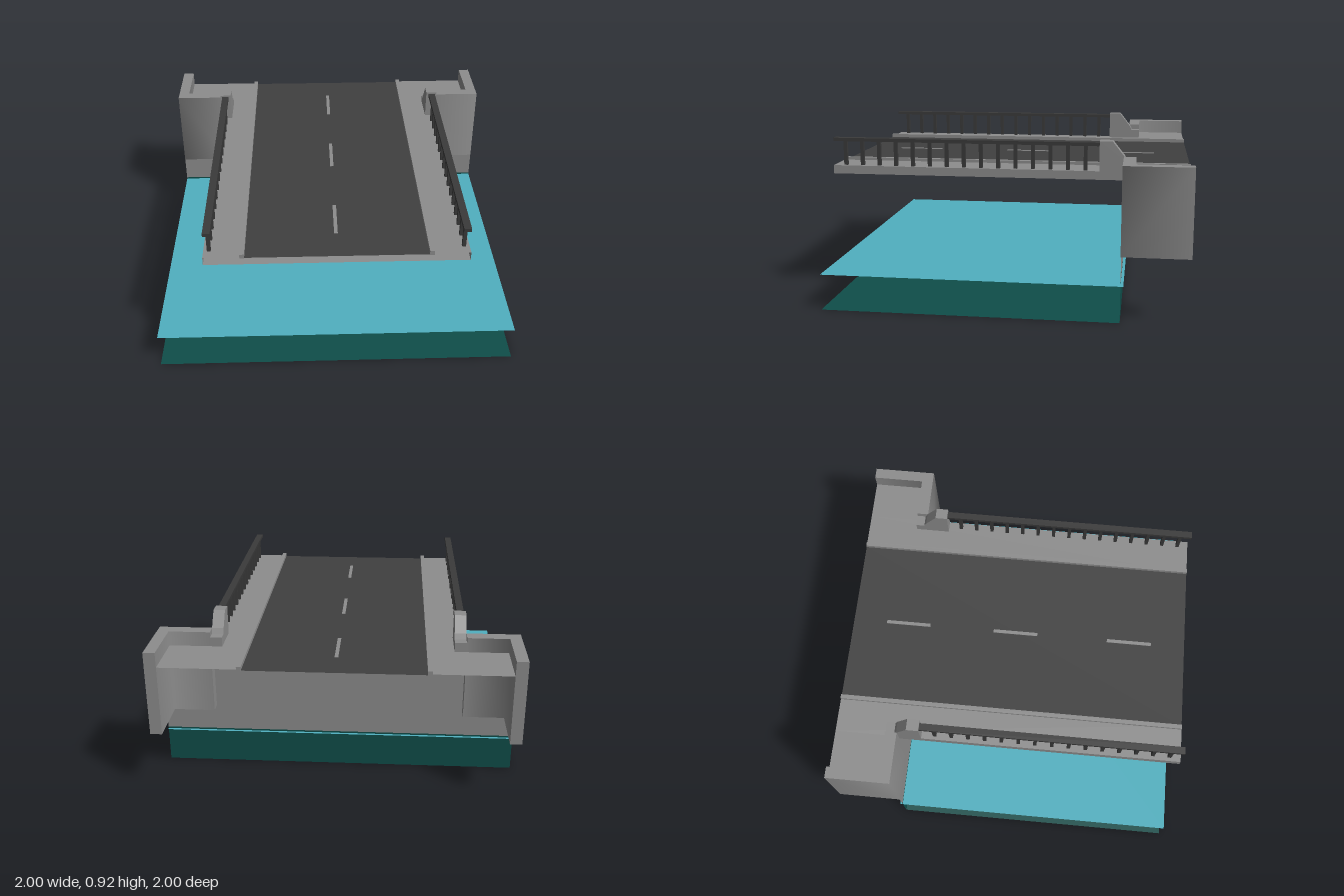
import * as THREE from 'three';

export function createModel() {
  const model = new THREE.Group();
  model.name = 'riverBridge';

  const material = (name, color) => {
    const m = new THREE.MeshStandardMaterial({ color, side: THREE.DoubleSide });
    m.name = name;
    return m;
  };
  const concrete = material('concrete', 0x8d8d8d);
  const asphalt = material('asphalt', 0x404040);
  const railMetal = material('rail metal', 0x3a3a3a);
  const water = material('water', 0x50b0c0);
  const riverbed = material('riverbed', 0x0f4e4a);

  const add = (name, geometry, mat, parent = model) => {
    const mesh = new THREE.Mesh(geometry, mat);
    mesh.name = name;
    parent.add(mesh);
    return mesh;
  };
  const box = (name, mat, x0, x1, y0, y1, z0, z1, parent) =>
    add(name, new THREE.BoxGeometry(x1 - x0, y1 - y0, z1 - z0)
      .translate((x0 + x1) / 2, (y0 + y1) / 2, (z0 + z1) / 2), mat, parent);
  // Level sheet
  const sheet = (name, mat, x0, x1, y, z0, z1, parent) =>
    add(name, new THREE.PlaneGeometry(x1 - x0, z1 - z0).rotateX(-Math.PI / 2)
      .translate((x0 + x1) / 2, y, (z0 + z1) / 2), mat, parent);
  // Upright sheet following a plan path of [x, z], with softened corners
  const upright = (name, mat, path, y0, y1, parent) => {
    const pos = [], index = [];
    path.forEach(([x, z], i) => {
      pos.push(x, y0, z, x, y1, z);
      const a = 2 * i;
      if (i < path.length - 1) index.push(a, a + 2, a + 3, a, a + 3, a + 1);
    });
    const g = new THREE.BufferGeometry();
    g.setAttribute('position', new THREE.Float32BufferAttribute(pos, 3));
    g.setIndex(index);
    g.computeVertexNormals();
    return add(name, g, mat, parent);
  };

  const bank = -0.635; // z of the river bank

  // River
  sheet('riverbedFloor', riverbed, -1, 1, 0, bank, 1);
  upright('riverbedBank', riverbed, [[-1, bank], [1, bank]], 0, 0.21);
  sheet('waterSurface', water, -1, 1, 0.2, bank - 0.015, 1);

  // Abutment wall under the end of the deck
  upright('abutmentWall', concrete, [[-1, bank], [1, bank]], 0.21, 0.725);

  // Road with centre dashes
  sheet('road', asphalt, -0.49, 0.49, 0.752, -1, 1);
  for (const [z0, z1] of [[-0.8, -0.535], [-0.15, 0.115], [0.535, 0.8]]) {
    box('centreDash', concrete, -0.01, 0.01, 0.752, 0.755, z0, z1);
  }
  sheet('deckUnderside', concrete, -0.705, 0.705, 0.71, bank, 1);

  // One side of the bridge, built at +x
  const buildSide = () => {
    const side = new THREE.Group();

    sheet('pavement', concrete, 0.49, 0.705, 0.757, -1, 1, side);
    sheet('bankPavement', concrete, 0.705, 0.94, 0.757, -1, -0.69, side);
    upright('deckEdge', concrete, [[0.705, 1], [0.705, bank]], 0.71, 0.757, side);
    box('kerb', concrete, 0.487, 0.512, 0.747, 0.773, -1, 1, side);

    // Railing
    box('handrail', railMetal, 0.655, 0.695, 0.893, 0.912, -0.5, 1, side);
    for (let i = 0; i < 15; i++) {
      const z = 0.935 - i * 0.097;
      box('railPost', railMetal, 0.665, 0.685, 0.757, 0.893, z - 0.01, z + 0.01, side);
    }

    // Sloped end pillar, profile in (z, y)
    const profile = new THREE.Shape([[-0.5, 0.757], [-0.5, 0.922], [-0.57, 0.922],
      [-0.635, 0.84], [-0.65, 0.81], [-0.7, 0.81], [-0.7, 0.757]]
      .map(([z, y]) => new THREE.Vector2(-z, y)));
    const pillar = new THREE.ExtrudeGeometry(profile, { depth: 0.065, bevelEnabled: false })
      .rotateY(Math.PI / 2).translate(0.64, 0, 0);
    add('endPillar', pillar, concrete, side);

    // L-shaped wing wall
    const wing = new THREE.Group();
    wing.name = 'wingWall';
    side.add(wing);
    const y0 = 0.36, y1 = 0.84, front = -0.632;
    const outer = [[0.705, front], [1, front], [1, -1]];
    const inner = [[0.935, -1], [0.935, -0.7], [0.705, -0.7]];
    upright('outerFace', concrete, outer, y0, y1, wing);
    upright('innerFace', concrete, inner, y0, y1, wing);
    upright('backEnd', concrete, [outer[2], inner[0]], y0, y1, wing);
    upright('innerEnd', concrete, [inner[2], outer[0]], y0, y1, wing);
    const plan = new THREE.Shape([...outer, ...inner].map(([x, z]) => new THREE.Vector2(x, -z)));
    for (const [name, y] of [['wingTop', y1], ['wingBottom', y0]]) {
      const cap = new THREE.ShapeGeometry(plan).rotateX(-Math.PI / 2);
      if (y === y0) {
        // Turn the lower cap to face down
        cap.scale(1, -1, 1);
        cap.setIndex([...cap.index.array].reverse());
        cap.computeVertexNormals();
      }
      add(name, cap.translate(0, y, 0), concrete, wing);
    }
    return side;
  };

  const left = buildSide();
  left.name = 'leftSide';
  const right = buildSide();
  right.name = 'rightSide';
  right.scale.x = -1;
  model.add(left, right);

  return model;
}
